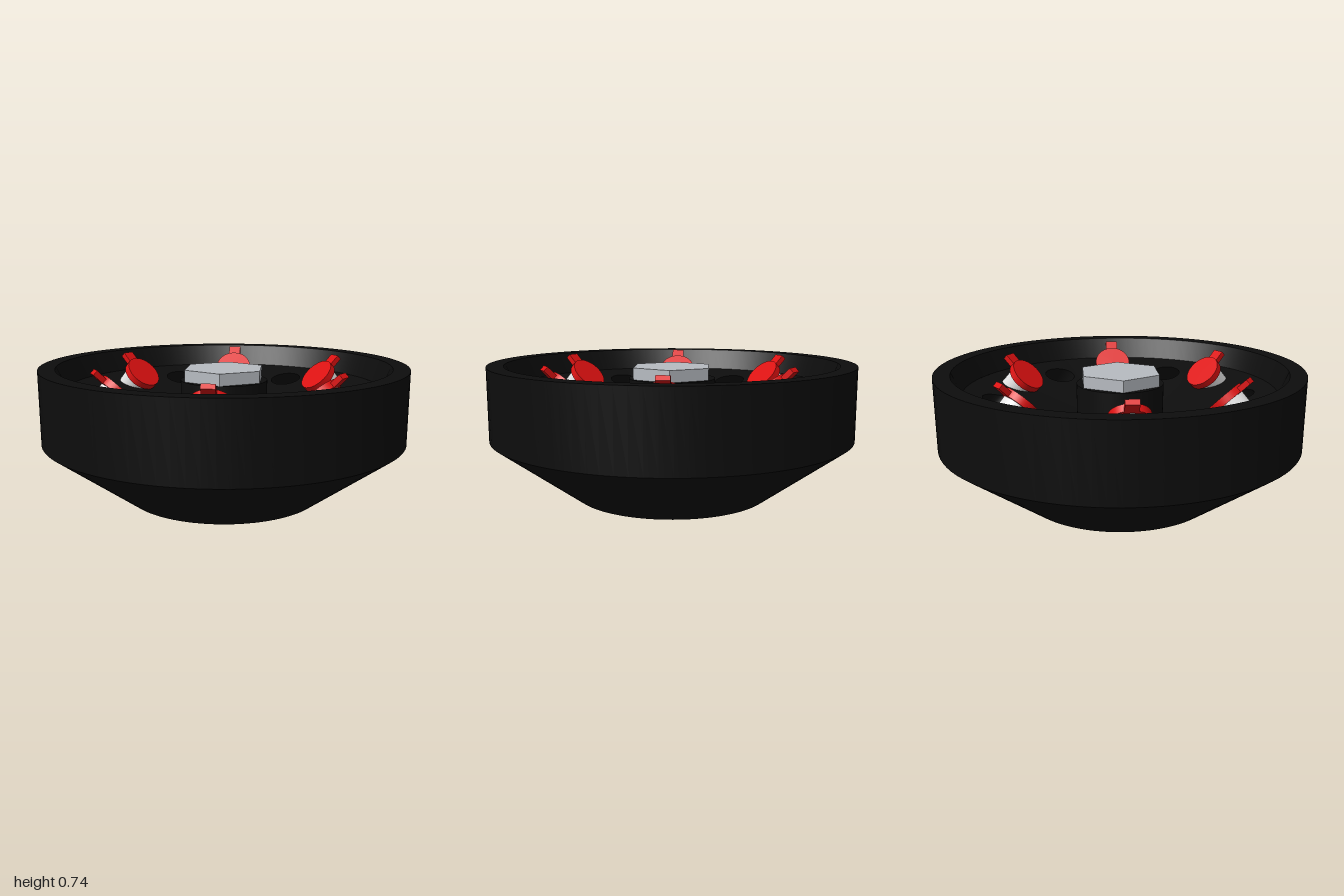
import * as THREE from 'three';
import { toCreasedNormals } from 'three/addons/utils/BufferGeometryUtils.js';
import { ParametricGeometry } from 'three/addons/geometries/ParametricGeometry.js';

const HUB_R = 0.24, WALL_R = 0.86, HOLE_R = 0.667;
const floorY = (r) => 0.45 + (r - HUB_R) * 0.257;

export function createModel() {
  const model = new THREE.Group();
  model.name = 'rotor';

  const mat = (name, color, side = THREE.FrontSide) => {
    const m = new THREE.MeshStandardMaterial({ color, side });
    m.name = name;
    return m;
  };
  const black = mat('black', 0x0d0d0d, THREE.DoubleSide);
  const steel = mat('steel', 0xb8bcc2);
  const white = mat('tubeWhite', 0xe6e6e6);
  const red = mat('capRed', 0xdd1111);

  const add = (parent, name, geometry, material, x = 0, y = 0, z = 0) => {
    const mesh = new THREE.Mesh(geometry, material);
    mesh.name = name;
    mesh.position.set(x, y, z);
    parent.add(mesh);
    return mesh;
  };

  // Bowl: flat base, flared underside, straight side, rim and inner wall
  const profile = [[0, 0], [0.545, 0], [1, 0.335], [1, 0.73], [0.91, 0.73], [WALL_R, floorY(WALL_R)]]
    .map(([r, y]) => new THREE.Vector2(r, y));
  add(model, 'body', toCreasedNormals(new THREE.LatheGeometry(profile, 96), 0.4), black);

  // Hub and hexagonal nut
  add(model, 'hub', new THREE.CylinderGeometry(HUB_R, HUB_R, 0.2, 64), black, 0, 0.545, 0);
  const nut = add(model, 'hexNut',
    toCreasedNormals(new THREE.CylinderGeometry(0.235, 0.235, 0.07, 6), 0.4), steel, 0, 0.675, 0);
  nut.rotation.y = Math.PI / 6;

  // Conical floor sector, spread from the round hole edge to the sector border
  const holeEdge = (u, target) => {
    const a = -u * Math.PI * 2;
    const x = HOLE_R + 0.088 * Math.cos(a), z = 0.09 * Math.sin(a);
    return target.set(x, floorY(Math.hypot(x, z)), z);
  };
  const floorSector = new ParametricGeometry((u, v, target) => {
    const a = -u * Math.PI * 2, c = Math.cos(a), s = Math.sin(a);
    const m = Math.max(Math.abs(c), Math.abs(s));
    holeEdge(u, target);
    const r = THREE.MathUtils.lerp(Math.hypot(target.x, target.z),
      (HUB_R + WALL_R) / 2 + (c / m) * (WALL_R - HUB_R) / 2, v);
    const angle = THREE.MathUtils.lerp(Math.atan2(target.z, target.x), (s / m) * Math.PI / 6, v);
    target.set(r * Math.cos(angle), floorY(r), r * Math.sin(angle));
  }, 64, 8);

  // Slanted well below each hole, with a closed bottom
  const depth = 0.2;
  const wellWall = new ParametricGeometry((u, v, target) => {
    holeEdge(u, target);
    target.x += depth * 0.707 * v;
    target.y -= depth * 0.707 * v;
  }, 64, 1);
  const bottomCentre = new THREE.Vector3(HOLE_R + depth * 0.707, floorY(HOLE_R) - depth * 0.707, 0);
  const wellBottom = new ParametricGeometry((u, v, target) => {
    holeEdge(u, target);
    target.x += depth * 0.707;
    target.y -= depth * 0.707;
    target.lerp(bottomCentre, v * 0.999);
  }, 64, 1);

  const tubeGeo = new THREE.CylinderGeometry(0.088, 0.08, 0.28, 40);
  const capGeo = new THREE.CylinderGeometry(0.105, 0.105, 0.04, 40);
  const tabGeo = new THREE.BoxGeometry(0.085, 0.03, 0.07);

  for (let i = 0; i < 6; i++) {
    const sector = new THREE.Group();
    sector.name = 'emptySlot';
    sector.rotation.y = (i + 0.5) * Math.PI / 3;
    add(sector, 'floor', floorSector, black);
    add(sector, 'wellWall', wellWall, black);
    add(sector, 'wellBottom', wellBottom, black);
    model.add(sector);

    // Capped tube leaning inward at 45 degrees
    const spoke = new THREE.Group();
    spoke.name = 'filledSlot';
    spoke.rotation.y = i * Math.PI / 3;
    const tube = new THREE.Group();
    tube.name = 'tube';
    tube.position.set(0.595, 0.635, 0);
    tube.rotation.z = Math.PI / 4;
    add(tube, 'vial', tubeGeo, white, 0, -0.17, 0);
    add(tube, 'cap', capGeo, red, 0, -0.02, 0);
    add(tube, 'capTab', tabGeo, red, 0.121, -0.027, 0);
    spoke.add(tube);
    model.add(spoke);
  }
  return model;
}
